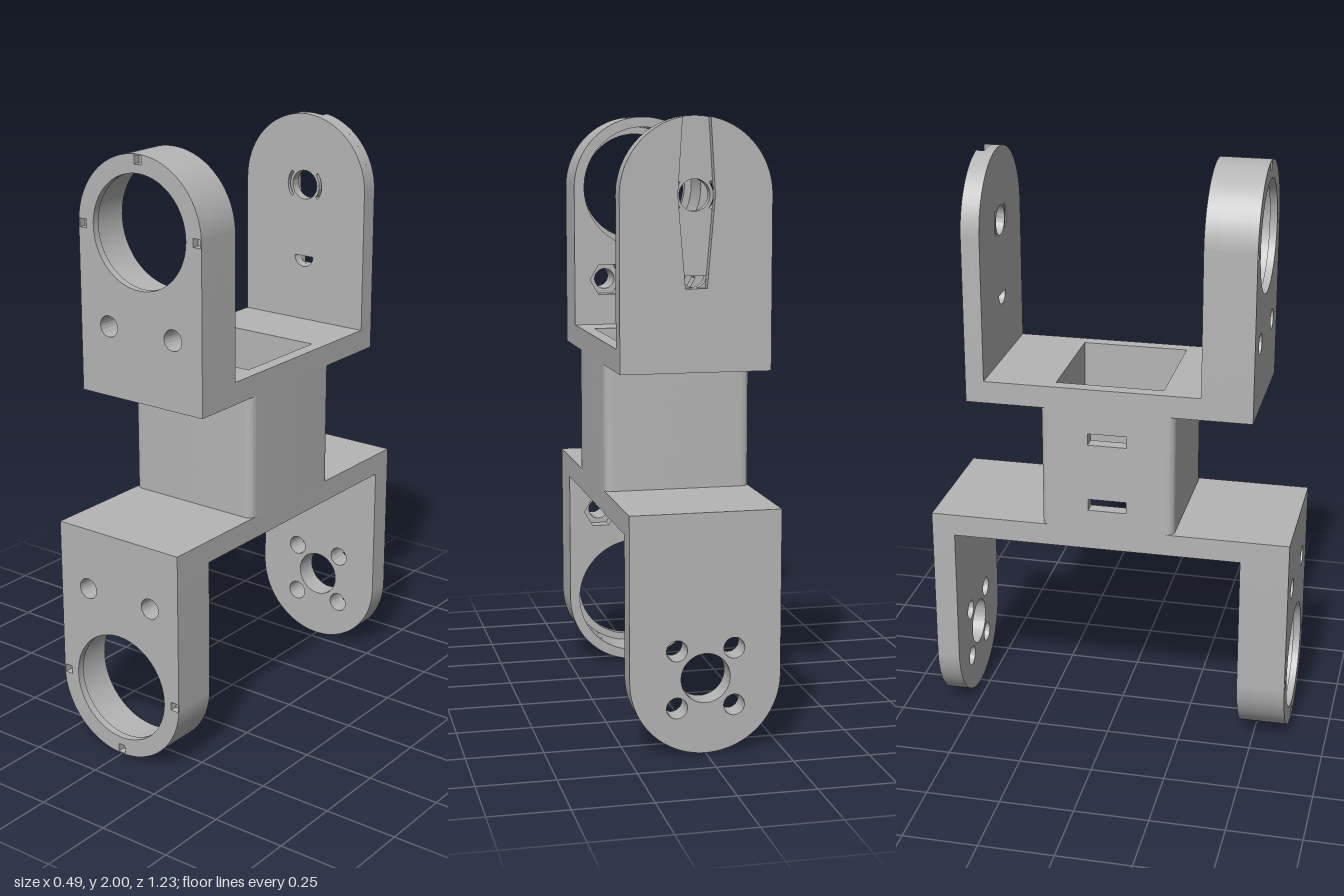
import * as THREE from 'three';
import { toCreasedNormals } from 'three/addons/utils/BufferGeometryUtils.js';

const HALF = 0.245; // half width, also the radius of the rounded plate ends
const grey = new THREE.MeshStandardMaterial({ color: 0xb5b5b5 });
grey.name = 'grey plastic';

function extrude(name, shape, depth) {
  const geo = new THREE.ExtrudeGeometry(shape, { depth, bevelEnabled: false, curveSegments: 40 });
  const mesh = new THREE.Mesh(toCreasedNormals(geo, 0.5), grey);
  mesh.name = name;
  return mesh;
}

// slab extruded along z, from z0 to z1
function slabZ(name, shape, z0, z1) {
  const mesh = extrude(name, shape, z1 - z0);
  mesh.position.z = z0;
  return mesh;
}

// slab extruded along y, from y0 to y1 (shape is drawn in x and -z)
function slabY(name, shape, y0, y1) {
  const mesh = extrude(name, shape, y1 - y0);
  mesh.rotation.x = -Math.PI / 2;
  mesh.position.y = y0;
  return mesh;
}

const circle = (x, y, r) => new THREE.Path().absarc(x, y, r, 0, Math.PI * 2);
const polygon = (pts) => new THREE.Path(pts.map(([x, y]) => new THREE.Vector2(x, y)));
const rect = (x, y, w, h) => polygon([[x - w, y - h], [x + w, y - h], [x + w, y + h], [x - w, y + h]]);
const hexagon = (x, y, r) => polygon([0, 1, 2, 3, 4, 5].map((i) =>
  [x + r * Math.cos(i * Math.PI / 3), y + r * Math.sin(i * Math.PI / 3)]));

// plate outline: square foot at y = -foot, round end centred on the origin
function arch(foot, holes) {
  const s = new THREE.Shape();
  s.moveTo(-HALF, -foot);
  s.lineTo(HALF, -foot);
  s.lineTo(HALF, 0);
  s.absarc(0, 0, HALF, 0, Math.PI);
  s.closePath();
  s.holes.push(...holes);
  return s;
}

// thick plate with a lipped bearing bore, bolt holes, nut pockets and index notches
function bearingPlate(name, foot, z0, z1) {
  const g = new THREE.Group();
  g.name = name;
  const pair = (make, r) => [-0.13, 0.13].map((x) => make(x, -0.322, r));
  const notches = [[-0.227, 0], [0.227, 0], [0, 0.227]].map(([x, y]) => rect(x, y, 0.014, 0.014));
  const lip = z1 - 0.025, pocket = z0 + 0.05;
  g.add(slabZ('bearingLip', arch(foot, [circle(0, 0, 0.185), ...pair(circle, 0.035), ...notches]), lip, z1));
  g.add(slabZ('bearingBore', arch(foot, [circle(0, 0, 0.21), ...pair(circle, 0.035)]), pocket, lip));
  g.add(slabZ('nutPockets', arch(foot, [circle(0, 0, 0.21), ...pair(hexagon, 0.06)]), z0, pocket));
  return g;
}

// thin plate with a tapered arm groove in its back
function groovePlate(name, foot, z0, z1) {
  const g = new THREE.Group();
  g.name = name;
  const mid = z0 + 0.028;
  // narrow curved slits either side of the shaft hole
  const slits = [0, Math.PI].map((a) => {
    const p = new THREE.Path();
    p.absarc(0, 0, 0.07, a - 0.7, a + 0.7, false);
    p.absarc(0, 0, 0.06, a + 0.7, a - 0.7, true);
    return p;
  });
  const screwWindow = new THREE.Path();
  screwWindow.absarc(0, -0.252, 0.038, Math.PI, Math.PI * 2);
  g.add(slabZ('shaftFace', arch(foot, [circle(0, 0, 0.05), ...slits, screwWindow]), mid, z1));

  const a = Math.acos(0.045 / HALF);
  const s = new THREE.Shape();
  s.moveTo(-HALF, -foot);
  s.lineTo(HALF, -foot);
  s.lineTo(HALF, 0);
  s.absarc(0, 0, HALF, 0, a);
  s.lineTo(0.06, 0);
  s.lineTo(0.035, -0.29);
  s.lineTo(-0.035, -0.29);
  s.lineTo(-0.06, 0);
  s.absarc(0, 0, HALF, Math.PI - a, Math.PI);
  s.closePath();
  g.add(slabZ('armGroove', s, z0, mid));
  return g;
}

// thin plate with a shaft hole and four screw holes
function hornPlate(name, foot, z0, z1) {
  const holes = [circle(0, 0, 0.08)];
  for (const x of [-0.093, 0.093]) for (const y of [-0.093, 0.093]) holes.push(circle(x, y, 0.034));
  return slabZ(name, arch(foot, holes), z0, z1);
}

// floor of a bracket, with the square opening
function floor(name, zBack, zFront, y0, y1) {
  const s = new THREE.Shape([[-HALF, -zFront], [HALF, -zFront], [HALF, -zBack], [-HALF, -zBack]]
    .map(([x, y]) => new THREE.Vector2(x, y)));
  s.holes.push(rect(0, 0, 0.2, 0.18));
  return slabY(name, s, y0, y1);
}

// cross-section of the hollow neck, with or without a gap in its -x wall
function neckSection(slotted) {
  const d = 0.225, r = 0.027, gap = 0.065;
  const s = new THREE.Shape();
  s.moveTo(-HALF, -gap);
  s.lineTo(-HALF, -d + r);
  s.absarc(-HALF + r, -d + r, r, Math.PI, Math.PI * 1.5);
  s.absarc(HALF - r, -d + r, r, Math.PI * 1.5, Math.PI * 2);
  s.absarc(HALF - r, d - r, r, 0, Math.PI / 2);
  s.absarc(-HALF + r, d - r, r, Math.PI / 2, Math.PI);
  s.lineTo(-HALF, gap);
  if (slotted) {
    for (const [x, y] of [[-0.2, gap], [-0.2, 0.18], [0.2, 0.18], [0.2, -0.18], [-0.2, -0.18], [-0.2, -gap]]) s.lineTo(x, y);
  } else {
    s.holes.push(rect(0, 0, 0.2, 0.18));
  }
  s.closePath();
  return s;
}

export function createModel() {
  const model = new THREE.Group();
  model.name = 'jointBracket';

  // upper bracket
  const upper = new THREE.Group();
  upper.name = 'upperBracket';
  const upperPlates = [
    bearingPlate('upperBearingPlate', 0.555, 0.31, 0.48),
    groovePlate('upperGroovePlate', 0.555, -0.477, -0.415),
  ];
  for (const p of upperPlates) p.position.y = 1.755;
  upper.add(...upperPlates, floor('upperFloor', -0.415, 0.31, 1.2, 1.275));

  // lower bracket, plates turned upside down
  const lower = new THREE.Group();
  lower.name = 'lowerBracket';
  const lowerPlates = [
    bearingPlate('lowerBearingPlate', 0.533, 0.45, 0.613),
    hornPlate('lowerHornPlate', 0.533, -0.613, -0.535),
  ];
  for (const p of lowerPlates) {
    p.position.y = 0.247;
    p.rotation.z = Math.PI;
  }
  lower.add(...lowerPlates, floor('lowerFloor', -0.535, 0.45, 0.705, 0.78));

  // hollow neck in layers, every second one slotted
  const neck = new THREE.Group();
  neck.name = 'neck';
  const levels = [0.78, 0.845, 0.885, 1.08, 1.12, 1.2];
  for (let i = 0; i < levels.length - 1; i++) {
    neck.add(slabY('neckLayer' + (i + 1), neckSection(i % 2 === 1), levels[i], levels[i + 1]));
  }

  model.add(upper, neck, lower);
  return model;
}
